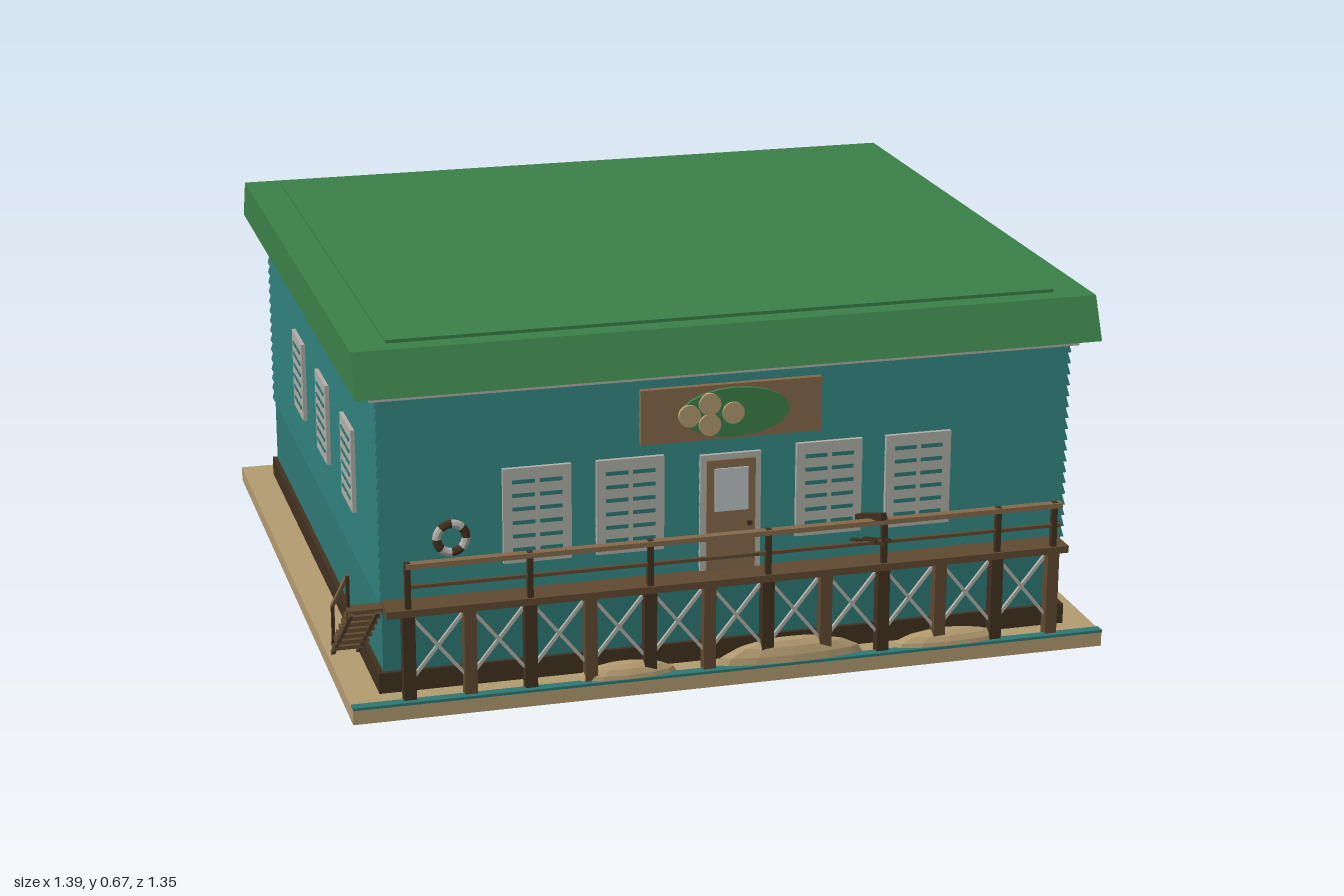
import * as THREE from 'three';

const mat = (name, color) => {
  const m = new THREE.MeshStandardMaterial({ color });
  m.name = name;
  m.flatShading = true;
  return m;
};

export function createModel() {
  const teal = mat('teal paint', 0x2d7874);
  const green = mat('roof green', 0x3b8049);
  const sand = mat('sand', 0xb39b70);
  const wood = mat('wood', 0x84694a);
  const postWood = mat('weathered wood', 0x5f4930);
  const dark = mat('dark timber', 0x40301f);
  const trim = mat('grey trim', 0xb0afa8);
  const glass = mat('pale glass', 0xbcc4c4);

  const root = new THREE.Group();
  root.name = 'boathouse';

  const add = (parent, name, geo, m, x = 0, y = 0, z = 0) => {
    const mesh = new THREE.Mesh(geo, m);
    mesh.name = name;
    mesh.position.set(x, y, z);
    parent.add(mesh);
    return mesh;
  };
  // box given by its limits
  const box = (parent, name, m, x0, x1, y0, y1, z0, z1) =>
    add(parent, name, new THREE.BoxGeometry(x1 - x0, y1 - y0, z1 - z0), m,
      (x0 + x1) / 2, (y0 + y1) / 2, (z0 + z1) / 2);
  // straight square bar between two points
  const bar = (parent, name, m, a, b, t) => {
    const va = new THREE.Vector3(...a), vb = new THREE.Vector3(...b);
    const mesh = add(parent, name, new THREE.BoxGeometry(t, t, va.distanceTo(vb)), m);
    mesh.position.copy(va).add(vb).multiplyScalar(0.5);
    mesh.lookAt(vb);
    return mesh;
  };
  const group = (name, x = 0, y = 0, z = 0, ry = 0) => {
    const g = new THREE.Group();
    g.name = name;
    g.position.set(x, y, z);
    g.rotation.y = ry;
    root.add(g);
    return g;
  };

  // ground slab, underside and water strip
  box(root, 'groundSlab', sand, -0.7, 0.695, 0.002, 0.03, -0.665, 0.665);
  box(root, 'underside', teal, -0.63, 0.63, 0, 0.004, -0.6, 0.6);
  box(root, 'waterStrip', teal, -0.7, 0.695, 0.029, 0.034, 0.648, 0.667);

  // walls: plain base, skirting and lapped boards
  box(root, 'lowerWall', teal, -0.633, 0.633, 0.03, 0.2, -0.598, 0.598);
  box(root, 'skirting', dark, -0.642, 0.642, 0.03, 0.068, -0.606, 0.606);
  const siding = group('siding');
  const boards = 18, boardH = 0.375 / boards;
  for (let i = 0; i < boards; i++) {
    const geo = new THREE.CylinderGeometry(Math.SQRT2 * 0.992, Math.SQRT2, boardH, 4);
    geo.rotateY(Math.PI / 4).scale(0.638, 1, 0.603);
    add(siding, 'board', geo, teal, 0, 0.2 + boardH * (i + 0.5), 0);
  }

  // roof: trim band, sloped front and back, raised top panel
  box(root, 'eaveTrim', trim, -0.648, 0.648, 0.57, 0.586, -0.615, 0.615);
  const profile = new THREE.Shape([
    [-0.648, 0.585], [0.648, 0.585], [0.612, 0.661], [-0.612, 0.661],
  ].map(p => new THREE.Vector2(...p)));
  const roofGeo = new THREE.ExtrudeGeometry(profile, { depth: 1.354, bevelEnabled: false });
  roofGeo.translate(0, 0, -0.677).rotateY(-Math.PI / 2);
  add(root, 'roof', roofGeo, green);
  box(root, 'roofPanel', green, -0.61, 0.61, 0.66, 0.667, -0.575, 0.575);

  // shuttered windows
  const addWindow = (x, y, z, ry, w, h) => {
    const g = group('window', x, y, z, ry);
    box(g, 'windowFrame', trim, -w / 2, w / 2, -h / 2, h / 2, -0.004, 0.004);
    const rows = 6, pitch = h * 0.86 / rows;
    for (let i = 0; i < rows; i++) {
      const yy = (i - (rows - 1) / 2) * pitch;
      for (const s of [-1, 1])
        add(g, 'slot', new THREE.BoxGeometry(w * 0.33, pitch * 0.28, 0.002), teal, s * w * 0.2, yy, 0.0045);
    }
  };
  for (const x of [-0.355, -0.187, 0.18, 0.348]) addWindow(x, 0.34, 0.606, 0, 0.123, 0.175);
  for (const p of [0.34, 0.07, -0.2]) {
    addWindow(0.641, 0.372, p, Math.PI / 2, 0.112, 0.155);
    addWindow(-0.641, 0.372, p, -Math.PI / 2, 0.112, 0.155);
    addWindow(p, 0.372, -0.606, Math.PI, 0.112, 0.155);
  }

  // door
  const door = group('door', -0.003, 0, 0.606);
  box(door, 'doorFrame', trim, -0.056, 0.056, 0.2, 0.42, -0.006, 0.002);
  box(door, 'doorLeaf', wood, -0.045, 0.045, 0.2, 0.41, 0, 0.006);
  box(door, 'doorGlass', glass, -0.031, 0.031, 0.315, 0.395, 0.005, 0.009);
  box(door, 'doorHandle', dark, 0.03, 0.038, 0.285, 0.293, 0.005, 0.012);

  // sign board with oval and discs
  const sign = group('sign', -0.003, 0.5, 0.606);
  box(sign, 'signBoard', wood, -0.166, 0.166, -0.05, 0.05, -0.006, 0.006);
  const disc = (name, m, x, y, z, rx, ry) => {
    const geo = new THREE.CylinderGeometry(1, 1, 0.008, 20).rotateX(Math.PI / 2).scale(rx, ry, 1);
    add(sign, name, geo, m, x, y, z);
  };
  disc('signOval', green, 0.005, 0, 0.009, 0.1, 0.045);
  for (const [x, y] of [[-0.08, 0], [-0.043, 0.019], [-0.043, -0.019], [0, 0]])
    disc('signDisc', sand, x, y, 0.014, 0.02, 0.02);

  // porch deck and rails
  const porch = group('porch');
  box(porch, 'deck', postWood, -0.635, 0.625, 0.19, 0.203, 0.598, 0.66);
  box(porch, 'topRail', wood, -0.6, 0.61, 0.278, 0.287, 0.644, 0.66);
  box(porch, 'midRail', postWood, -0.6, 0.61, 0.24, 0.246, 0.648, 0.655);
  const step = 0.1085, postX = i => -0.596 + i * step;
  for (let i = 0; i < 12; i++) {
    const x = postX(i);
    box(porch, 'lowerPost', i % 2 ? postWood : dark, x - 0.011, x + 0.011, 0.03, 0.195, 0.635, 0.657);
    if (i % 2 === 0 || i === 11)
      box(porch, 'railPost', dark, x - 0.005, x + 0.005, 0.2, 0.288, 0.645, 0.656);
    // grey cross braces between posts
    if (i < 11) {
      for (const s of [0, 1])
        bar(porch, 'crossBrace', trim, [x + 0.01, s ? 0.18 : 0.07, 0.638 + s * 0.006],
          [x + step - 0.01, s ? 0.07 : 0.18, 0.638 + s * 0.006], 0.006);
    }
  }

  // side stairs rising to the deck
  const stairs = group('stairs');
  for (let i = 0; i < 7; i++) {
    const y = 0.055 + i * 0.0225, z = 0.42 + i * 0.029;
    box(stairs, 'tread', postWood, -0.695, -0.635, y, y + 0.007, z, z + 0.03);
  }
  for (const x of [-0.691, -0.645])
    bar(stairs, 'stringer', postWood, [x, 0.035, 0.41], [x, 0.192, 0.625], 0.007);
  for (const [y, z] of [[0.05, 0.43], [0.17, 0.6]])
    bar(stairs, 'handrailPost', dark, [-0.692, y, z], [-0.692, y + 0.085, z], 0.006);
  bar(stairs, 'handrail', wood, [-0.692, 0.135, 0.43], [-0.692, 0.255, 0.6], 0.006);

  // lifebuoy in alternating sections
  const buoy = group('lifebuoy', -0.51, 0.312, 0.614);
  for (let i = 0; i < 8; i++) {
    const arc = new THREE.TorusGeometry(0.026, 0.008, 8, 4, Math.PI / 4);
    add(buoy, 'buoySection', arc, i % 2 ? trim : dark).rotation.z = i * Math.PI / 4;
  }

  // spyglass on a tripod
  const scope = group('spyglass', 0.25, 0.2, 0.634);
  for (const [x, z] of [[-0.025, -0.015], [0.025, -0.015], [0, 0.02]])
    bar(scope, 'tripodLeg', dark, [x, 0, z], [0, 0.08, 0], 0.005);
  bar(scope, 'spyglassTube', dark, [0.022, 0.075, -0.022], [-0.022, 0.1, 0.03], 0.013);

  // sand mounds under the porch
  for (const [x0, x1, h] of [[-0.3, -0.11, 0.03], [-0.04, 0.24, 0.045], [0.29, 0.51, 0.03]]) {
    const geo = new THREE.SphereGeometry(1, 12, 4, 0, Math.PI * 2, 0, Math.PI / 2);
    geo.scale((x1 - x0) / 2, h, 0.024);
    add(root, 'sandMound', geo, sand, (x0 + x1) / 2, 0.03, 0.642);
  }

  return root;
}
